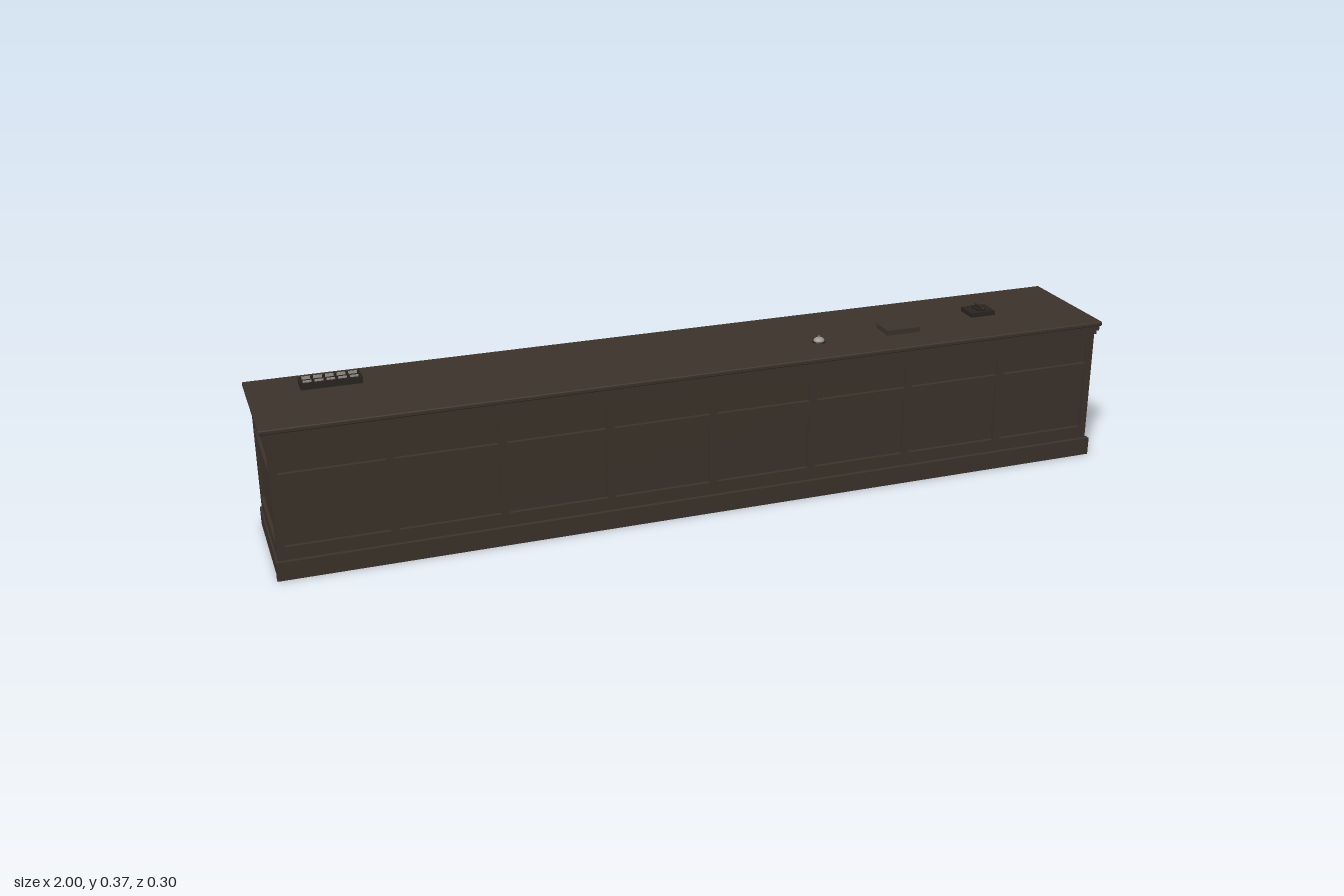
import * as THREE from 'three';
import { RoundedBoxGeometry } from 'three/addons/geometries/RoundedBoxGeometry.js';

const mat = (name, color) => {
  const m = new THREE.MeshStandardMaterial({ color });
  m.name = name;
  return m;
};

export function createModel() {
  const wood = mat('darkWood', 0x3d332b);
  const dark = mat('darkLeather', 0x2b2520);
  const metal = mat('paleMetal', 0x9a968e);
  const root = new THREE.Group();
  root.name = 'receptionCounter';

  const add = (name, geo, material, parent = root) => {
    const m = new THREE.Mesh(geo, material);
    m.name = name;
    parent.add(m);
    return m;
  };
  // Box given by its limits on each axis
  const box = (name, [x0, x1], [y0, y1], [z0, z1], material = wood, parent = root) => {
    const m = add(name, new THREE.BoxGeometry(x1 - x0, y1 - y0, z1 - z0), material, parent);
    m.position.set((x0 + x1) / 2, (y0 + y1) / 2, (z0 + z1) / 2);
    return m;
  };
  const rect = (target, x0, x1, y0, y1) => {
    target.moveTo(x0, y0).lineTo(x1, y0).lineTo(x1, y1).lineTo(x0, y1).closePath();
    return target;
  };
  // Panelled face: a board with one pair of openings per bay
  const panelFrame = (x0, x1, bays, depth) => {
    const shape = rect(new THREE.Shape(), x0, x1, 0, 0.316);
    for (const [a, b] of bays) {
      for (const [y0, y1] of [[0.073, 0.216], [0.241, 0.289]]) {
        shape.holes.push(rect(new THREE.Path(), a, b, y0, y1));
      }
    }
    return new THREE.ExtrudeGeometry(shape, { depth, bevelEnabled: false });
  };

  // Carcass with recessed panel surfaces
  box('carcass', [-0.979, 0.979], [0, 0.33], [-0.149, 0.131]);

  // Front frame, eight bays
  const bays = [];
  const pitch = 1.956 / 8;
  for (let i = 0; i < 8; i++) {
    const a = -0.978 + i * pitch;
    bays.push([a + 0.009, a + pitch - 0.009]);
  }
  add('frontFrame', panelFrame(-0.986, 0.986, bays, 0.009), wood).position.z = 0.131;

  // End frames, one bay each
  for (const s of [-1, 1]) {
    const bay = s > 0 ? [-0.118, 0.132] : [-0.132, 0.118];
    const ends = s > 0 ? [-0.131, 0.149] : [-0.149, 0.131];
    const frame = add(s > 0 ? 'leftEndFrame' : 'rightEndFrame', panelFrame(...ends, [bay], 0.007), wood);
    frame.rotation.y = s * Math.PI / 2;
    frame.position.x = s * 0.979;
    box('endPlinth', s > 0 ? [0.98, 0.99] : [-0.99, -0.98], [0, 0.043], [-0.149, 0.139]);
  }

  // Plinth, cornice and worktop
  box('frontPlinth', [-0.992, 0.992], [0, 0.043], [0.136, 0.15]);
  box('corniceLower', [-0.99, 0.99], [0.315, 0.326], [-0.149, 0.143]);
  box('corniceUpper', [-0.995, 0.995], [0.324, 0.337], [-0.149, 0.146]);
  const top = add('worktop', new RoundedBoxGeometry(2, 0.011, 0.3, 2, 0.003), wood);
  top.position.y = 0.3415;

  // Card rack: tray with upright dividers and pale cards
  const rack = new THREE.Group();
  rack.name = 'cardRack';
  root.add(rack);
  box('rackBase', [-0.885, -0.75], [0.346, 0.355], [-0.098, -0.052], dark, rack);
  for (let r = 0; r < 3; r++) {
    const z = -0.096 + r * 0.0205;
    box('rackRail', [-0.885, -0.75], [0.355, 0.363], [z, z + 0.003], dark, rack);
  }
  for (let r = 0; r < 2; r++) {
    for (let i = 0; i < 5; i++) {
      const x = -0.878 + i * 0.0255;
      const z = -0.087 + r * 0.0205;
      box('card', [x, x + 0.019], [0.355, 0.366 - r * 0.002], [z, z + 0.0015], metal, rack);
    }
  }
  for (const x of [-0.885, -0.753]) {
    box('rackEnd', [x, x + 0.003], [0.355, 0.363], [-0.098, -0.052], dark, rack);
  }

  // Service bell
  const bell = new THREE.Group();
  bell.name = 'serviceBell';
  bell.position.set(0.297, 0.347, 0.047);
  root.add(bell);
  add('bellBase', new THREE.CylinderGeometry(0.015, 0.016, 0.003, 24), dark, bell).position.y = 0.0015;
  const dome = add('bellDome', new THREE.SphereGeometry(0.013, 24, 8, 0, Math.PI * 2, 0, Math.PI / 2), metal, bell);
  dome.scale.y = 0.7;
  dome.position.y = 0.003;
  add('bellButton', new THREE.CylinderGeometry(0.002, 0.002, 0.004, 12), metal, bell).position.y = 0.0135;

  // Register book
  const book = new THREE.Group();
  book.name = 'registerBook';
  root.add(book);
  box('bookPages', [0.467, 0.551], [0.346, 0.358], [0.002, 0.064], wood, book);
  box('bookCover', [0.465, 0.553], [0.357, 0.36], [0, 0.066], wood, book);

  // Desk telephone
  const phone = new THREE.Group();
  phone.name = 'telephone';
  root.add(phone);
  box('phoneBase', [0.716, 0.78], [0.346, 0.358], [-0.038, 0.016], dark, phone);
  box('phoneCradle', [0.738, 0.758], [0.358, 0.363], [-0.028, 0.008], dark, phone);
  const handset = add('handset', new THREE.CapsuleGeometry(0.0035, 0.036, 4, 10), dark, phone);
  handset.rotation.x = Math.PI / 2;
  handset.position.set(0.748, 0.365, -0.005);

  return root;
}
